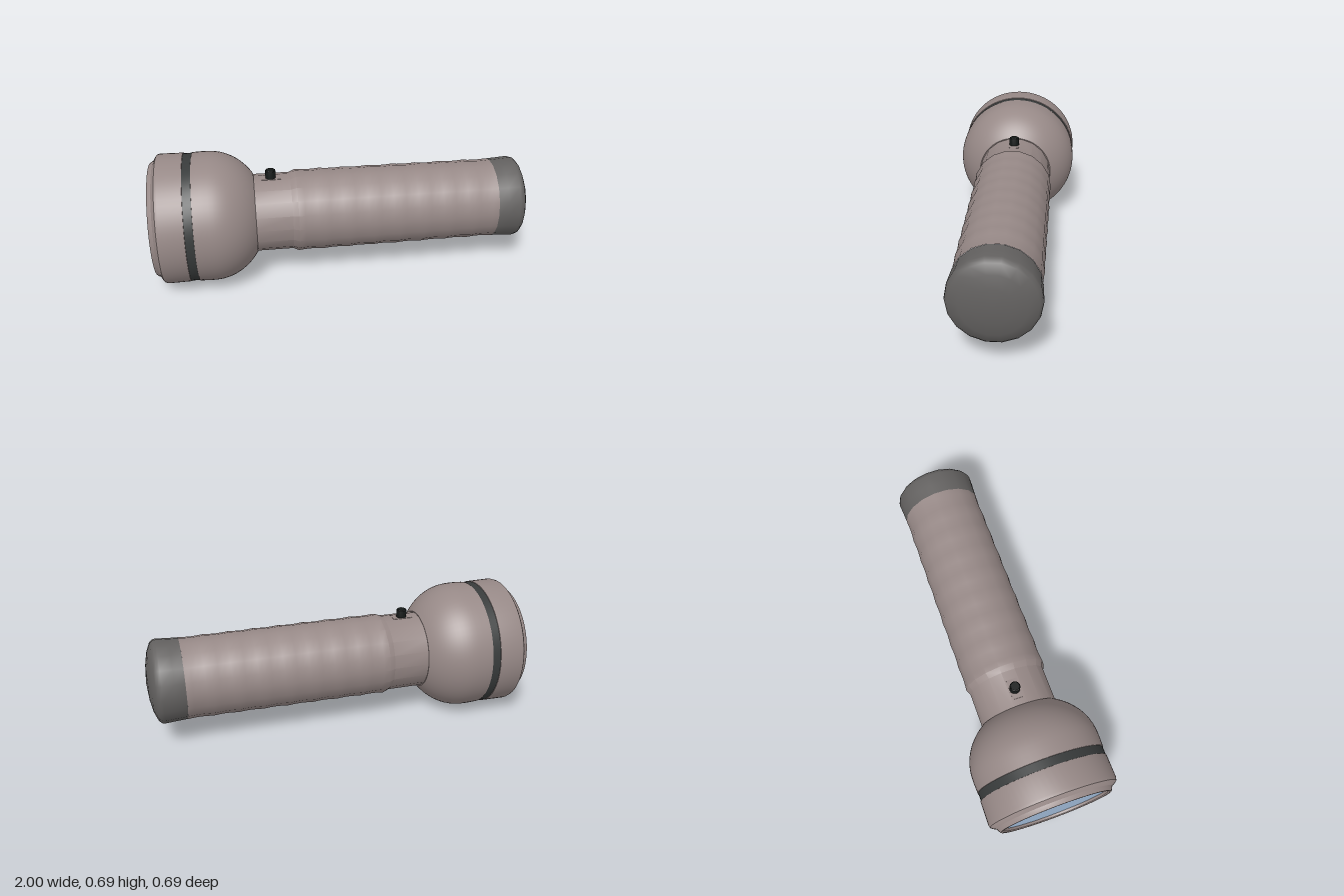
import * as THREE from 'three';
import { toCreasedNormals } from 'three/addons/utils/BufferGeometryUtils.js';

const AXIS_Y = 0.344;
const paint = (color) => new THREE.MeshStandardMaterial({ color });
const shell = paint(0x978987);
const rubber = paint(0x636160);
const trim = paint(0x383b3b);
const black = paint(0x141817);
const glass = paint(0x9db6d4);

// Turned part: profile of [x along the torch, radius], spun about the x axis
function turned(name, profile, material, sides, crease = 0.6) {
  const points = profile.map(([x, r]) => new THREE.Vector2(r, x));
  const geometry = toCreasedNormals(new THREE.LatheGeometry(points, sides), crease);
  const mesh = new THREE.Mesh(geometry, material);
  mesh.rotation.z = -Math.PI / 2;
  mesh.position.y = AXIS_Y;
  mesh.name = name;
  return mesh;
}

export function createModel() {
  const torch = new THREE.Group();
  torch.name = 'flashlight';

  // Head: flared bezel, inset band and rounded bowl
  torch.add(turned('bezel', [
    [-0.97, 0.272], [-0.995, 0.278], [-1, 0.285], [-1, 0.296], [-0.992, 0.302], [-0.978, 0.309],
    [-0.968, 0.327], [-0.96, 0.338], [-0.945, 0.343], [-0.825, 0.341], [-0.822, 0.33],
  ], shell, 64));
  torch.add(turned('headBand', [[-0.83, 0.338], [-0.775, 0.338]], trim, 64));
  const bowl = [[-0.783, 0.33], [-0.78, 0.341], [-0.73, 0.343]];
  for (let i = 0; i <= 12; i++) {
    const a = (i / 12) * 0.92;
    bowl.push([-0.7 + 0.29 * Math.sin(a), 0.005 + 0.338 * Math.cos(a)]);
  }
  bowl.push([-0.472, 0.2]);
  torch.add(turned('headBowl', bowl, shell, 64));

  // Lens recessed inside the bezel
  const lens = new THREE.Mesh(new THREE.CircleGeometry(0.276, 64), glass);
  lens.rotation.y = -Math.PI / 2;
  lens.position.set(-0.982, AXIS_Y, 0);
  lens.name = 'lens';
  torch.add(lens);

  // Barrel: plain neck, then a grip of shallow scallops
  const barrel = [[-0.5, 0.206], [-0.28, 0.206], [-0.25, 0.219]];
  const start = -0.25, rings = 8, pitch = (0.815 - start) / rings;
  for (let i = 0; i < rings; i++) {
    for (let k = 1; k <= 4; k++) {
      const x = start + (i + k / 4) * pitch;
      const dip = 0.004 * Math.sin((k / 4) * Math.PI);
      barrel.push([x, 0.219 - 0.005 * (i + k / 4) / rings - dip]);
    }
  }
  torch.add(turned('barrel', barrel, shell, 18, 0.5));

  // Tail cap with a shallow domed end
  torch.add(turned('tailCap', [
    [0.815, 0.213], [0.87, 0.216], [0.93, 0.22], [0.945, 0.217], [0.96, 0.203],
    [0.98, 0.155], [0.993, 0.09], [1, 0],
  ], rubber, 18, 0.8));

  // Switch: slot plate and round button
  const plate = new THREE.Mesh(new THREE.BoxGeometry(0.104, 0.02, 0.056), shell);
  plate.position.set(-0.38, 0.539, 0);
  plate.name = 'switchPlate';
  const button = new THREE.Mesh(toCreasedNormals(new THREE.LatheGeometry([
    [0.027, 0], [0.027, 0.055], [0.026, 0.06], [0.022, 0.063], [0, 0.063],
  ].map(([r, y]) => new THREE.Vector2(r, y)), 20), 0.6), black);
  button.position.set(-0.38, 0.53, 0);
  button.name = 'switchButton';
  torch.add(plate, button);

  return torch;
}
